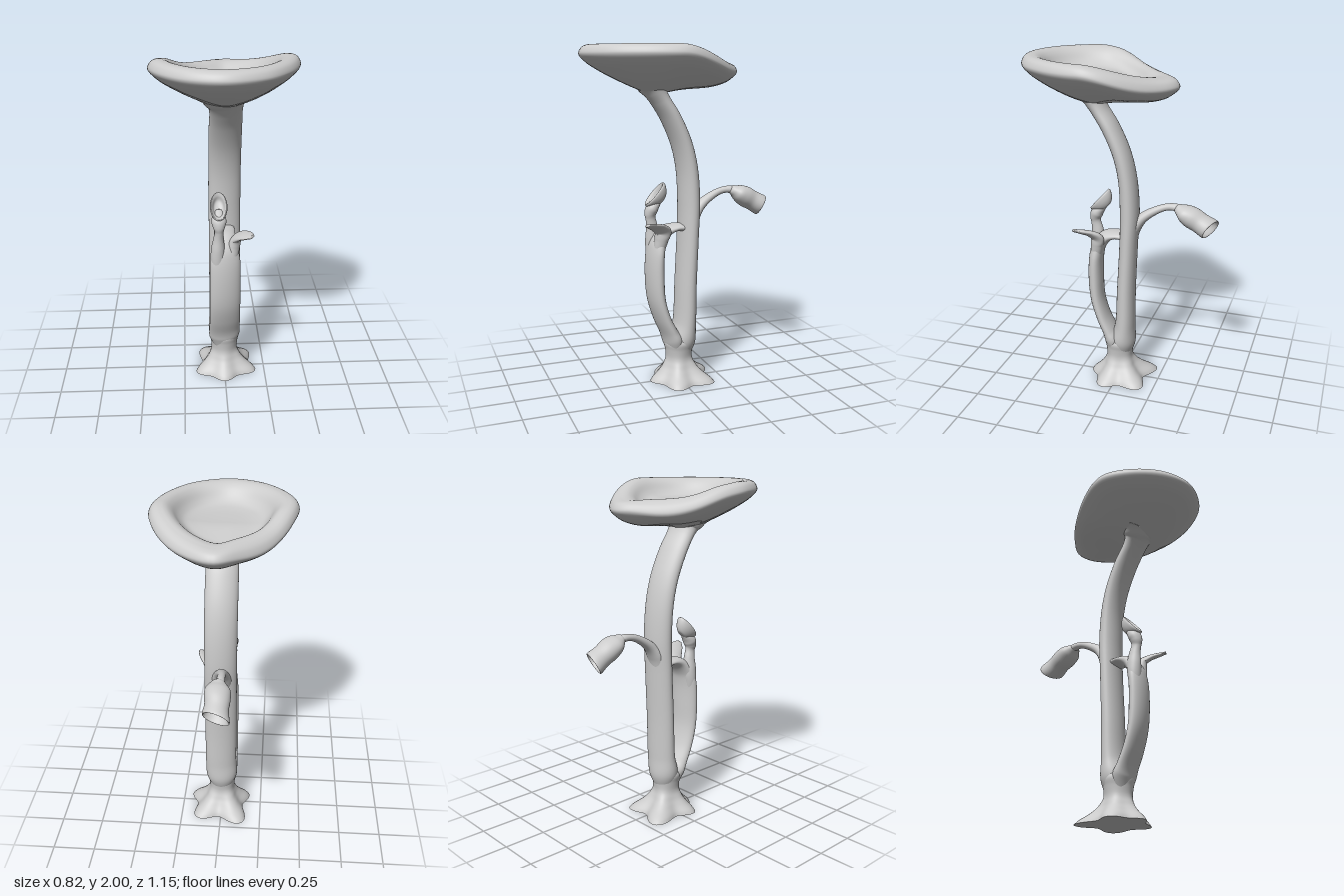
import * as THREE from 'three';

const V = (x, y, z) => new THREE.Vector3(x, y, z);
const smoothstep = THREE.MathUtils.smoothstep;
const material = new THREE.MeshStandardMaterial({ color: 0xcccccc, side: THREE.DoubleSide });

// Skin closed rings (counter-clockwise about the direction of travel)
function loft(name, rings) {
  const n = rings[0].length, pos = [], idx = [];
  rings.forEach(r => r.forEach(p => pos.push(p.x, p.y, p.z)));
  for (let i = 0; i < rings.length - 1; i++) {
    for (let j = 0; j < n; j++) {
      const k = (j + 1) % n, a = i * n + j, b = i * n + k, c = a + n, d = b + n;
      idx.push(a, b, c, b, d, c);
    }
  }
  const g = new THREE.BufferGeometry();
  g.setAttribute('position', new THREE.Float32BufferAttribute(pos, 3));
  g.setIndex(idx);
  g.computeVertexNormals();
  const mesh = new THREE.Mesh(g, material);
  mesh.name = name;
  return mesh;
}

// Elliptical limb along a path of [x, y, z, radius sideways, radius across]
function limb(name, pts, hint = V(1, 0, 0), steps = 60, n = 36) {
  const path = new THREE.CatmullRomCurve3(pts.map(p => V(p[0], p[1], p[2])));
  const size = new THREE.CatmullRomCurve3(pts.map(p => V(p[3], p[4], 0)), false, 'catmullrom', 0.5);
  const rings = [];
  const ring = (t, f) => {
    const c = path.getPoint(t), r = size.getPoint(t), tan = path.getTangent(t);
    const side = hint.clone().addScaledVector(tan, -hint.dot(tan)).normalize();
    const nrm = tan.clone().cross(side);
    rings.push(Array.from({ length: n }, (_, j) => {
      const a = j / n * Math.PI * 2;
      return c.clone().addScaledVector(side, r.x * f * Math.cos(a)).addScaledVector(nrm, r.y * f * Math.sin(a));
    }));
  };
  ring(0, 0);
  for (let i = 0; i <= steps; i++) ring(i / steps, 1);
  ring(1, 0);
  return loft(name, rings);
}

// Hollow cup along a fixed axis; profile of [distance, radius sideways, radius across]
function cup(name, origin, axis, profile, skew = 0, n = 36, steps = 48) {
  const dir = axis.clone().normalize(), side = V(1, 0, 0), nrm = dir.clone().cross(side);
  const curve = new THREE.CatmullRomCurve3(profile.map(p => V(...p)));
  return loft(name, curve.getPoints(steps).map(p => Array.from({ length: n }, (_, j) => {
    const a = j / n * Math.PI * 2;
    return origin.clone().addScaledVector(dir, p.x * (1 + skew * Math.cos(a)))
      .addScaledVector(side, Math.max(0, p.y) * Math.cos(a)).addScaledVector(nrm, Math.max(0, p.z) * Math.sin(a));
  })));
}

// Dished, pear-shaped cap on top
function makeCap() {
  const outline = new THREE.CatmullRomCurve3([
    [0.02, -0.345], [-0.13, -0.255], [-0.27, -0.12], [-0.37, 0.04], [-0.41, 0.2], [-0.345, 0.37], [-0.2, 0.515],
    [-0.01, 0.569], [0.2, 0.49], [0.33, 0.335], [0.395, 0.17], [0.402, 0.05], [0.34, -0.1], [0.2, -0.25],
  ].map(([x, z]) => V(x, 0, z)), true).getPoints(90).slice(0, 90);
  const profile = new THREE.CatmullRomCurve3([
    [0, 1.73], [0.14, 1.737], [0.25, 1.754], [0.5, 1.802], [0.75, 1.858], [0.92, 1.907], [1, 1.95], [0.967, 1.982],
    [0.88, 2], [0.77, 1.995], [0.69, 1.973], [0.6, 1.93], [0.52, 1.905], [0.4, 1.893], [0.2, 1.887], [0, 1.885],
  ].map(([s, y]) => V(s, y, 0))).getPoints(80);
  return loft('cap', profile.map(p => outline.map(o => {
    // Rings grow rounder toward the middle
    const s = Math.max(0, p.x), blend = smoothstep(s, 0.2, 0.95);
    const spoke = V(o.x, 0, o.z - 0.14);
    const q = spoke.clone().setLength(0.43).lerp(spoke, blend).multiplyScalar(s);
    const z = 0.14 + q.z;
    // The rim dips toward the back, a little more on the right
    const drop = 0.1 * smoothstep(-z, -0.12, 0.3)
      + 0.04 * smoothstep(-q.x, 0.03, 0.3) * smoothstep(-z, -0.25, 0.08);
    return V(q.x, Math.min(2, p.y) - drop, z);
  })));
}

// Root flare: radius and lobe height by level
function makeRoots(group) {
  const lobes = [[20, 0.085], [90, 0.06], [155, 0.07], [-122, 0.125], [-48, 0.11]];
  const levels = new THREE.CatmullRomCurve3([
    [0, 0.12, 1], [0.02, 0.115, 0.85], [0.06, 0.098, 0.45], [0.1, 0.084, 0.2], [0.15, 0.077, 0.04], [0.2, 0.084, 0],
    [0.24, 0.091, 0], [0.265, 0.08, 0], [0.275, 0.05, 0], [0.275, 0, 0],
  ].map(p => V(...p))).getPoints(50);
  const ring = (y, r, k) => Array.from({ length: 90 }, (_, j) => {
    const a = j / 90 * Math.PI * 2;
    let radius = r;
    for (const [deg, h] of lobes) {
      radius += k * h * Math.exp(9 * (Math.cos(-a - deg * Math.PI / 180) - 1));
    }
    return V(radius * Math.cos(a), y, -radius * Math.sin(a));
  });
  group.add(loft('roots', levels.map(p => ring(Math.max(0, p.x), Math.max(0, p.y), Math.max(0, p.z)))));
  group.add(loft('rootUnderside', [ring(0, 0, 0), ring(0, 0.12, 1)]));
}

export function createModel() {
  const model = new THREE.Group();
  model.name = 'mushroomStool';
  makeRoots(model);
  model.add(makeCap());

  // Main stalk, slightly twisted, bending forward and flaring into the cap
  model.add(limb('trunk', [
    [0, 0.16, -0.01, 0.06, 0.06], [0, 0.25, -0.022, 0.094, 0.077], [0.004, 0.36, -0.036, 0.095, 0.061],
    [0.005, 0.6, -0.043, 0.095, 0.056], [0.005, 0.9, -0.056, 0.095, 0.054], [0.005, 1.1, -0.062, 0.095, 0.057],
    [0.005, 1.3, -0.048, 0.095, 0.054], [0.005, 1.45, -0.012, 0.095, 0.052], [0.005, 1.6, 0.056, 0.094, 0.05],
    [0.005, 1.69, 0.113, 0.092, 0.049], [0.003, 1.74, 0.142, 0.1, 0.057], [0, 1.765, 0.152, 0.122, 0.075],
    [0, 1.79, 0.16, 0.16, 0.09],
  ], V(1, 0, -0.14), 96, 44));

  // Front branch, arching back into the trunk
  model.add(limb('frontBranch', [
    [0, 0.17, 0.028, 0.06, 0.04], [0, 0.25, 0.04, 0.093, 0.053], [0, 0.31, 0.067, 0.094, 0.043],
    [0, 0.4, 0.108, 0.093, 0.04], [0, 0.52, 0.142, 0.092, 0.042], [0, 0.66, 0.152, 0.092, 0.045],
    [0, 0.8, 0.147, 0.09, 0.043], [0, 0.87, 0.13, 0.078, 0.041], [0, 0.925, 0.088, 0.064, 0.036],
    [0, 0.947, 0.03, 0.062, 0.024], [0, 0.945, -0.04, 0.06, 0.026],
  ], V(1, 0, -0.16), 80, 44));

  // Spoon-shaped sprout on its own stem
  model.add(limb('spoonStem', [
    [-0.035, 0.7, 0.155, 0.025, 0.025], [-0.044, 0.8, 0.154, 0.04, 0.036], [-0.043, 0.88, 0.15, 0.04, 0.042],
    [-0.039, 0.95, 0.153, 0.031, 0.035], [-0.036, 1.0, 0.162, 0.026, 0.03], [-0.037, 1.03, 0.164, 0.035, 0.034],
    [-0.037, 1.06, 0.154, 0.043, 0.037], [-0.037, 1.09, 0.13, 0.036, 0.028], [-0.037, 1.11, 0.11, 0.02, 0.02],
  ]));
  model.add(cup('spoon', V(-0.037, 1.147, 0.138), V(0, 0.66, 0.75), [
    [-0.066, 0, 0], [-0.062, 0.024, 0.036], [-0.035, 0.044, 0.07], [-0.005, 0.05, 0.087], [0.003, 0.045, 0.082],
    [-0.006, 0.037, 0.066], [-0.028, 0.026, 0.045], [-0.036, 0, 0],
  ]));

  // Small flat leaf, turned outward
  model.add(limb('leaf', [
    [0.03, 0.74, 0.146, 0.02, 0.02], [0.042, 0.83, 0.136, 0.034, 0.032], [0.052, 0.895, 0.125, 0.042, 0.034],
    [0.068, 0.94, 0.123, 0.05, 0.026], [0.094, 0.97, 0.158, 0.047, 0.018], [0.125, 0.988, 0.205, 0.037, 0.013],
    [0.145, 0.998, 0.243, 0.018, 0.008],
  ], V(0.5, 0.2, -0.8)));

  // Rear stem with a drooping hollow bud
  model.add(limb('budStem', [
    [0.002, 0.9, -0.075, 0.05, 0.025], [0, 1.0, -0.09, 0.06, 0.037], [-0.004, 1.065, -0.135, 0.043, 0.031],
    [-0.01, 1.115, -0.205, 0.029, 0.024], [-0.015, 1.147, -0.28, 0.022, 0.02], [-0.012, 1.15, -0.34, 0.026, 0.023],
    [-0.008, 1.125, -0.39, 0.036, 0.034],
  ]));
  model.add(cup('bud', V(-0.003, 1.158, -0.335), V(0, -0.49, -0.87), [
    [0, 0, 0], [0.005, 0.026, 0.022], [0.03, 0.05, 0.034], [0.06, 0.07, 0.05], [0.11, 0.073, 0.062],
    [0.17, 0.067, 0.06], [0.232, 0.076, 0.063], [0.238, 0.073, 0.059], [0.228, 0.066, 0.053],
    [0.16, 0.053, 0.046], [0.1, 0.045, 0.04], [0.08, 0, 0],
  ], -0.1));

  return model;
}
